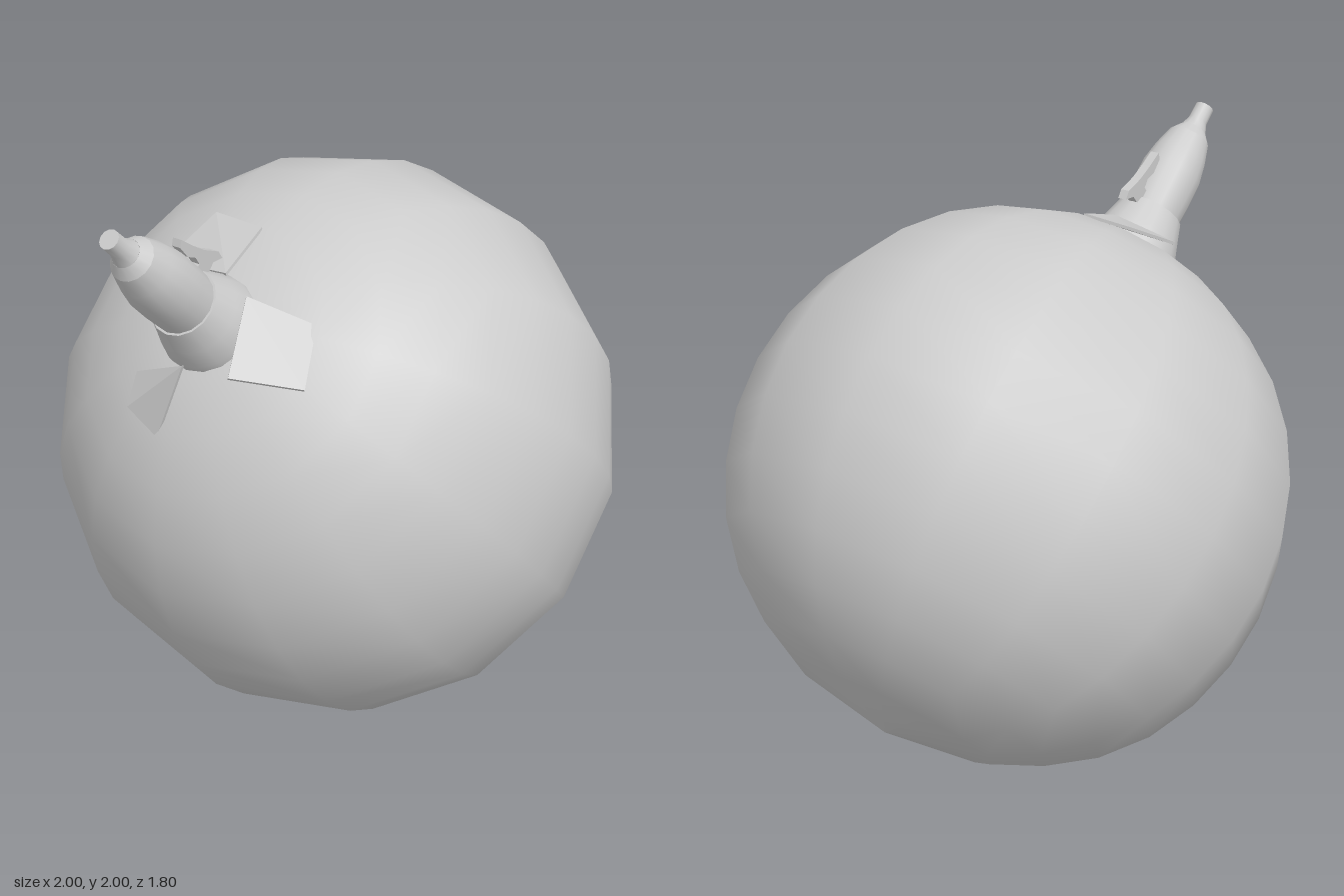
import * as THREE from 'three';
import { ConvexGeometry } from 'three/addons/geometries/ConvexGeometry.js';

const material = new THREE.MeshStandardMaterial({ color: 0xcccccc, side: THREE.DoubleSide });
const flatMaterial = new THREE.MeshStandardMaterial({ color: 0xcccccc, flatShading: true, side: THREE.DoubleSide });

function add(parent, name, geometry, mat = material) {
  const mesh = new THREE.Mesh(geometry, mat);
  mesh.name = name;
  parent.add(mesh);
  return mesh;
}

// Turned part around the local y axis; profile is [radius, height], bottom to top.
function turned(profile, segments) {
  const points = profile.map(([r, y]) => new THREE.Vector2(r, y));
  return new THREE.LatheGeometry(points, segments, Math.PI / 2);
}

// Thin plate through four corners, given a small thickness along its normal.
function plate(corners, thickness) {
  const c = corners.map((p) => new THREE.Vector3(...p));
  const n = c[2].clone().sub(c[0]).cross(c[3].clone().sub(c[1])).setLength(thickness / 2);
  return new ConvexGeometry(c.flatMap((p) => [p.clone().add(n), p.clone().sub(n)]));
}

export function createModel() {
  const model = new THREE.Group();
  model.name = 'ballWithNozzle';

  // Everything is built upright, then tilted 45 degrees to the right
  const tilted = new THREE.Group();
  tilted.name = 'tiltedAssembly';
  tilted.position.set(0.085, 0.917, 0);
  tilted.rotation.z = Math.PI / 4;
  model.add(tilted);

  // Ball: 14-sided, rings every 11.25 degrees, slightly flattened underneath
  const ball = [];
  for (let i = 16; i >= 0; i--) {
    if (i === 15) continue;
    const a = (i * Math.PI) / 16;
    const r = i === 16 ? 0.888 : i === 14 ? 0.894 : i === 13 ? 0.903 : i === 12 ? 0.915 : 0.921;
    ball.push([Math.max(0, r * Math.sin(a)), r * Math.cos(a)]);
  }
  add(tilted, 'ball', turned(ball, 14));

  // Flared collar and tapering nozzle
  add(tilted, 'collar', turned([[0.158, 0.88], [0.155, 0.93], [0.135, 0.99], [0.11, 1.07]], 16));
  add(tilted, 'collarRim', turned([[0.11, 1.07], [0.1, 1.07]], 16));
  add(tilted, 'nozzleBody', turned(
    [[0.1, 1.0], [0.103, 1.07], [0.106, 1.14], [0.105, 1.23], [0.092, 1.3], [0.072, 1.37]], 16));
  add(tilted, 'nozzleShoulder', turned([[0.072, 1.37], [0.046, 1.405]], 16));
  add(tilted, 'nozzleTip', turned([[0.046, 1.405], [0.033, 1.44], [0.032, 1.497]], 12));
  add(tilted, 'tipCap', turned([[0.032, 1.497], [0, 1.497]], 12));

  // Lever standing on the side of the nozzle
  const outline = [
    [0.06, 1.05], [0.122, 1.042], [0.147, 1.045], [0.177, 1.015], [0.184, 1.045], [0.158, 1.109],
    [0.144, 1.169], [0.134, 1.227], [0.113, 1.215], [0.108, 1.165], [0.122, 1.13], [0.115, 1.1], [0.06, 1.1],
  ].map(([x, y]) => new THREE.Vector2(x, y));
  const lever = new THREE.ExtrudeGeometry(new THREE.Shape(outline), { depth: 0.032, bevelEnabled: false });
  add(tilted, 'lever', lever.translate(0, 0, -0.016), flatMaterial);

  // Three bent flaps spread around the collar
  const flaps = {
    frontFlap: [[0.097, 0.974, 0.128], [0.112, 0.845, 0.31], [-0.088, 0.863, 0.385], [-0.158, 0.994, 0.214]],
    upperFlap: [[0.146, 0.962, 0.016], [0.346, 0.853, -0.021], [0.354, 0.838, -0.214], [0.136, 0.92, -0.243]],
    lowerFlap: [[-0.163, 0.983, 0.04], [-0.364, 0.831, -0.04], [-0.318, 0.884, -0.15], [-0.212, 0.919, -0.15]],
  };
  for (const [name, corners] of Object.entries(flaps)) {
    add(tilted, name, plate(corners, 0.01), flatMaterial);
  }

  return model;
}
